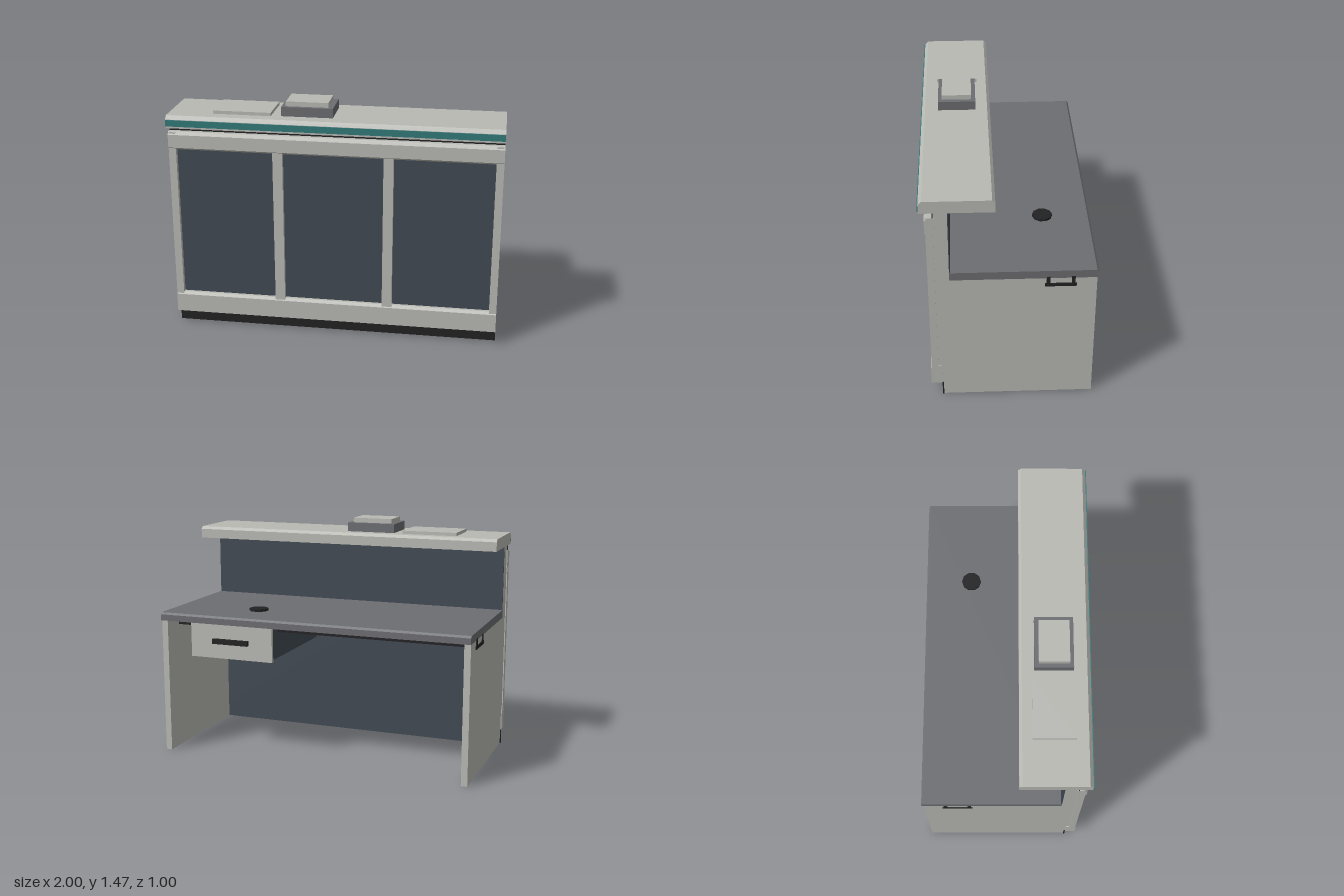
import * as THREE from 'three';

const paint = (name, color) => {
  const m = new THREE.MeshStandardMaterial({ color });
  m.name = name;
  return m;
};

export function createModel() {
  const light = paint('lightLaminate', 0xb9b9b4);
  const slate = paint('slatePanel', 0x414a53);
  const charcoal = paint('charcoalTop', 0x6d6e72);
  const black = paint('blackTrim', 0x222224);
  const teal = paint('tealAccent', 0x327a7b);

  const model = new THREE.Group();
  model.name = 'receptionCounter';

  const add = (name, geometry, material) => {
    const mesh = new THREE.Mesh(geometry, material);
    mesh.name = name;
    model.add(mesh);
    return mesh;
  };
  // Box given by its limits on each axis
  const box = (name, mat, x0, x1, y0, y1, z0, z1) => {
    const g = new THREE.BoxGeometry(x1 - x0, y1 - y0, z1 - z0);
    g.translate((x0 + x1) / 2, (y0 + y1) / 2, (z0 + z1) / 2);
    return add(name, g, mat);
  };
  // Side profile of [z, y] points run along x
  const run = (name, mat, x0, x1, points) => {
    const shape = new THREE.Shape(points.map(([z, y]) => new THREE.Vector2(z, y)));
    const g = new THREE.ExtrudeGeometry(shape, { depth: x1 - x0, bevelEnabled: false });
    g.rotateY(-Math.PI / 2);
    g.translate(x1, 0, 0);
    return add(name, g, mat);
  };

  const END = 0.994; // outer face of the side panels
  const IN = 0.955; // inner face of the side panels

  // Side panels, wall ends and side handles, mirrored
  for (const [s, side] of [[1, 'left'], [-1, 'right']]) {
    const span = (a, b) => (s > 0 ? [a, b] : [-b, -a]);
    box(side + 'SidePanel', light, ...span(IN, END), 0, 0.85, -0.49, 0.34);
    run(side + 'WallEnd', light, ...span(IN, END), [
      [0.34, 0], [0.394, 0], [0.394, 0.09], [0.46, 0.09], [0.46, 1.27],
      [0.418, 1.27], [0.418, 1.305], [0.34, 1.305],
    ]);
    box(side + 'HandleBar', black, ...span(END - 0.01, 1), 0.795, 0.815, -0.375, -0.195);
    for (const z of [-0.215, -0.357])
      box(side + 'HandlePost', black, ...span(END - 0.01, 1), 0.81, 0.86, z - 0.01, z + 0.01);
  }

  // Front wall core and its upper back face
  box('wallCore', slate, -IN, IN, 0.09, 1.3, 0.34, 0.43 - 0.012);
  box('lowerWallBack', slate, -IN, IN, 0, 0.09, 0.34, 0.37);
  box('upperWallBack', slate, -END, END, 0.9, 1.304, 0.335, 0.341);

  // Recessed front panels between stiles
  const stiles = [[-1, -0.96], [-0.365, -0.305], [0.3, 0.36], [0.955, 1]];
  for (let i = 0; i < 3; i++)
    box('frontPanel', slate, stiles[i][1], stiles[i + 1][0], 0.2, 1.18, 0.41, 0.432);
  for (const [a, b] of stiles) box('frontStile', light, a, b, 0.205, 1.175, 0.42, 0.46);

  // Rails with chamfered edges
  run('bottomRail', light, -1, 1, [
    [0.4, 0.09], [0.465, 0.09], [0.465, 0.205], [0.45, 0.22], [0.4, 0.22],
  ]);
  run('topRail', light, -1, 1, [
    [0.41, 1.162], [0.45, 1.162], [0.466, 1.175], [0.466, 1.255], [0.448, 1.273], [0.41, 1.273],
  ]);

  // Black plinth and shadow gap
  box('plinth', black, -IN, IN, 0, 0.09, 0.37, 0.397);
  box('plinthFace', black, -1, 1, 0, 0.09, 0.392, 0.4);
  box('shadowGap', black, -1, 1, 1.273, 1.305, 0.416, 0.422);

  // Raised counter with accent strip
  run('counterTop', light, -1, 1, [
    [0.08, 1.305], [0.495, 1.305], [0.495, 1.358], [0.475, 1.38], [0.097, 1.38], [0.08, 1.363],
  ]);
  box('accentStrip', teal, -1, 1, 1.317, 1.356, 0.494, 0.5);

  // Worktop, grommet and cable tray
  run('worktop', charcoal, -END - 0.002, END + 0.002, [
    [-0.5, 0.85], [0.34, 0.85], [0.34, 0.9], [-0.488, 0.9], [-0.5, 0.888],
  ]);
  const grommet = new THREE.CylinderGeometry(0.06, 0.06, 0.02, 10).toNonIndexed();
  grommet.computeVertexNormals();
  add('cableGrommet', grommet, black).position.set(0.45, 0.904, -0.215);
  box('cableTray', black, -IN, IN, 0.8, 0.849, -0.35, -0.17);

  // Drawer under the worktop
  box('drawerBody', slate, 0.265, 0.785, 0.635, 0.849, -0.45, 0.3);
  box('drawerFront', light, 0.25, 0.8, 0.63, 0.85, -0.47, -0.45);
  box('drawerHandle', black, 0.405, 0.645, 0.725, 0.755, -0.495, -0.47);

  // Items on the counter
  box('flatTray', light, -0.73, -0.38, 1.379, 1.4, 0.155, 0.405);
  box('terminalBase', charcoal, -0.32, -0.01, 1.379, 1.436, 0.168, 0.395);
  box('terminalTop', light, -0.295, -0.04, 1.435, 1.465, 0.193, 0.372);

  return model;
}
